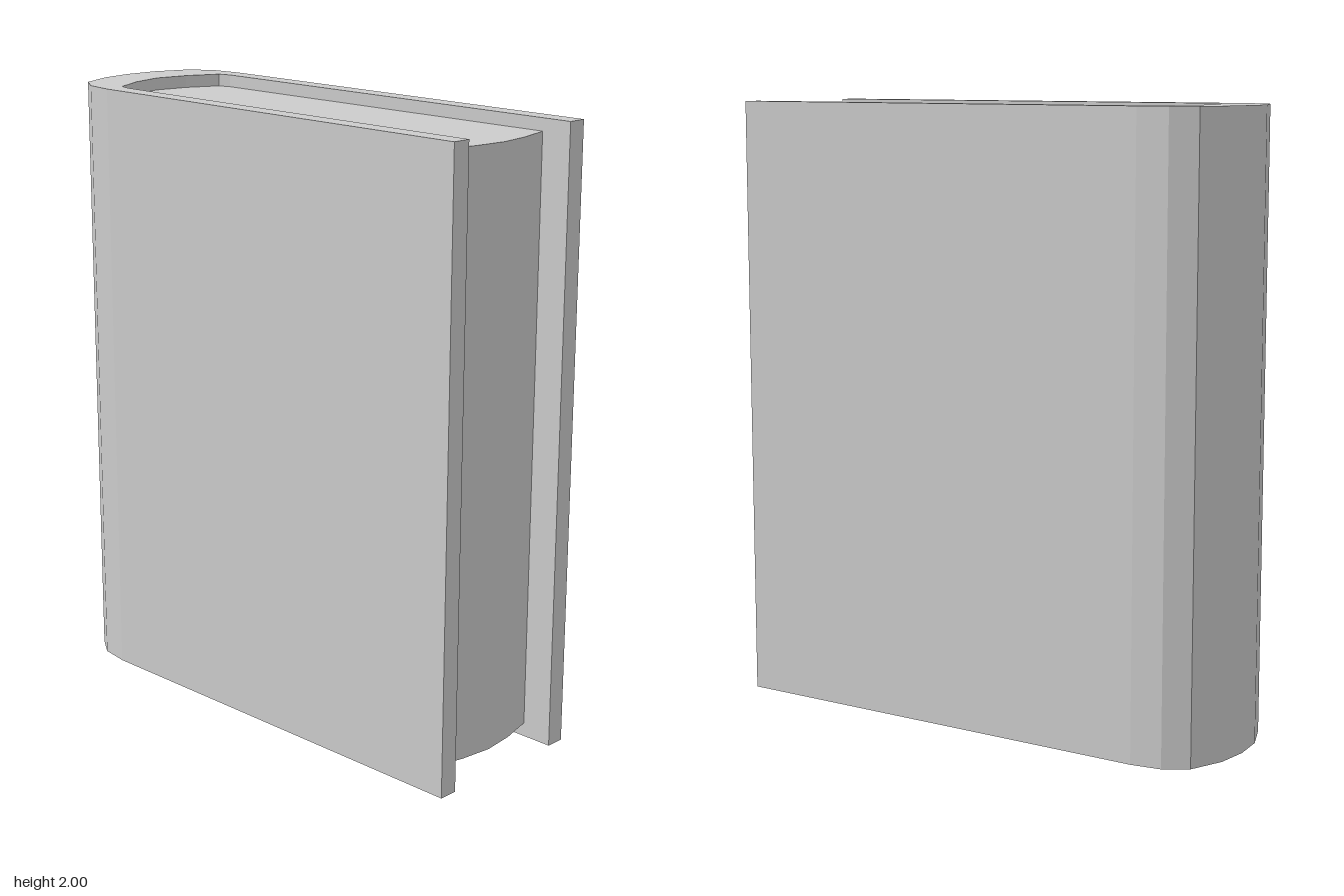
import * as THREE from 'three';

const material = new THREE.MeshStandardMaterial({ color: 0xcccccc, flatShading: true });

// Mirror a right-hand half outline of [x, z] points; a point on x = 0 is not doubled
const mirrored = (half) => [
  ...half,
  ...half.filter(([x]) => x > 0).reverse().map(([x, z]) => [-x, z]),
];

// Extrude an [x, z] outline upwards from y = bottom to y = top
function upright(name, outline, bottom, top) {
  const shape = new THREE.Shape(outline.map(([x, z]) => new THREE.Vector2(x, -z)));
  const geometry = new THREE.ExtrudeGeometry(shape, { depth: top - bottom, bevelEnabled: false });
  geometry.rotateX(-Math.PI / 2);
  geometry.translate(0, bottom, 0);
  const mesh = new THREE.Mesh(geometry, material);
  mesh.name = name;
  return mesh;
}

export function createModel() {
  const book = new THREE.Group();
  book.name = 'book';

  // Inside of the rounded spine, shared by the cover and the pages
  const innerSpine = [[0.227, -0.6], [0.215, -0.642], [0.11, -0.693], [0, -0.717]];
  const outerSpine = [[0.29, -0.63], [0.275, -0.73], [0.225, -0.805], [0.11, -0.852], [0, -0.864]];

  // U-shaped cover: two boards joined by the faceted spine
  const outside = mirrored([[0.29, 0.86], ...outerSpine]);
  const inside = mirrored([[0.227, 0.86], ...innerSpine]).reverse();
  book.add(upright('cover', [...outside, ...inside], 0, 2));

  // Page block with a bulging fore edge, slightly shorter than the cover
  const pages = mirrored([[0.227, 0.757], ...innerSpine]);
  const foreEdge = [[-0.11, 0.787], [0, 0.8], [0.11, 0.787]];
  book.add(upright('pages', [...pages, ...foreEdge], 0.045, 1.96));

  return book;
}
